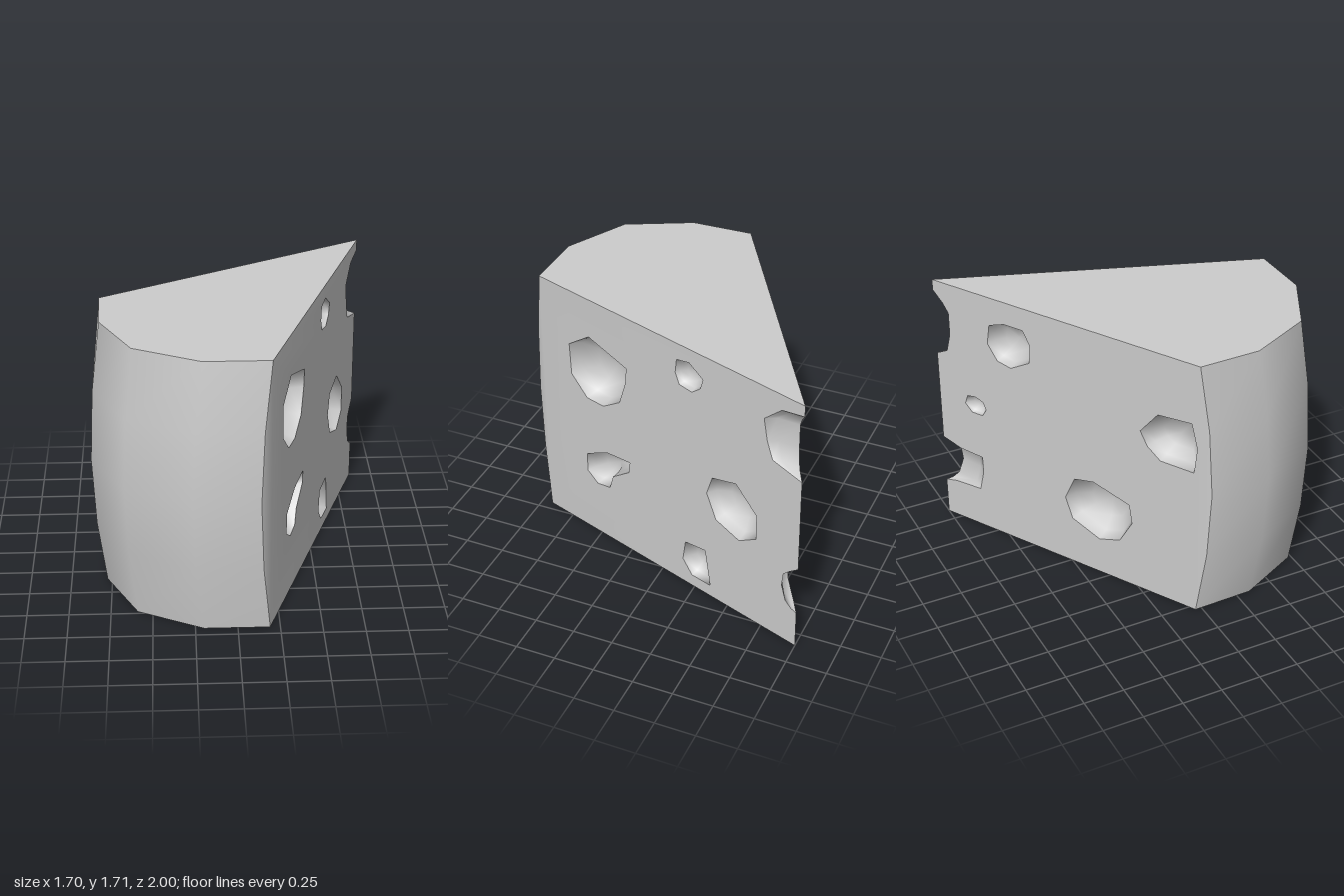
import * as THREE from 'three';
import { mergeVertices } from 'three/addons/utils/BufferGeometryUtils.js';

const H = 1.71;
const V = (x, y, z) => new THREE.Vector3(x, y, z);
const material = new THREE.MeshStandardMaterial({ color: 0xcccccc });

// Outline from the back left corner round the rind to the front right corner: [x, z]
const flatEdge = [[-0.79, -0.04], [-0.78, 0.34], [-0.59, 0.73], [-0.2, 0.93], [0.19, 0.93]];
const bulgeEdge = [[-0.85, 0.02], [-0.85, 0.4], [-0.65, 0.79], [-0.26, 1], [0.13, 1]];
const tip = [0.85, -1];
// Bulge of the rind at each height: [y, amount]
const levels = [[0, 0], [0.42, 0.72], [H / 2, 1], [H - 0.42, 0.72], [H, 0]];

const mix = (a, b, t) => [a[0] + (b[0] - a[0]) * t, a[1] + (b[1] - a[1]) * t];

// Smooth surface over rows of points
function loft(rows) {
  const n = rows[0].length, index = [];
  for (let i = 0; i < rows.length - 1; i++) {
    for (let j = 0; j < n - 1; j++) {
      const a = i * n + j, d = a + n;
      index.push(a, a + 1, d + 1, a, d + 1, d);
    }
  }
  let g = new THREE.BufferGeometry().setFromPoints(rows.flat());
  g.setIndex(index);
  g = mergeVertices(g, 1e-4);
  g.computeVertexNormals();
  return g;
}

// Cut face from the tip (u = 0) to a rind corner (u = 1); u above 1 follows the bulge
const BULGE = 0.04;
function makeWall(corner, toU, flip, holes, bites) {
  const flat = flatEdge[corner], bulge = bulgeEdge[corner];
  const at = (u, y) => {
    const p = u <= 1 ? mix(tip, flat, u) : mix(flat, bulge, (u - 1) / BULGE);
    return V(p[0], y, p[1]);
  };
  const convert = (list) => list.map(([a, y]) => new THREE.Vector2(toU(a), y));
  const normal = at(1, 0).sub(at(0, 0)).cross(V(0, 1, 0)).normalize();
  if (flip) normal.negate();
  return { at, normal, flip, holes: holes.map(convert), bites: bites.map(convert) };
}

function wallGeometry(wall) {
  const outline = [new THREE.Vector2(0, 0)];
  levels.forEach(([y, k]) => outline.push(new THREE.Vector2(1 + BULGE * k, y)));
  outline.push(new THREE.Vector2(0, H));
  wall.bites.forEach((b) => outline.push(...b));
  const shape = new THREE.Shape(outline);
  wall.holes.forEach((h) => shape.holes.push(new THREE.Path(h)));
  const g = new THREE.ShapeGeometry(shape);
  const p = g.attributes.position;
  for (let i = 0; i < p.count; i++) {
    const v = wall.at(p.getX(i), p.getY(i));
    p.setXYZ(i, v.x, v.y, v.z);
  }
  if (wall.flip) g.index.array.reverse();
  g.computeVertexNormals();
  return g;
}

// Rounded hollow behind a hole in a cut face
function hollowGeometry(wall, contour) {
  const ring = contour.slice();
  if (THREE.ShapeUtils.isClockWise(ring) !== wall.flip) ring.reverse();
  const points = ring.map((c) => wall.at(c.x, c.y));
  const centre = points.reduce((s, p) => s.add(p), V(0, 0, 0)).divideScalar(points.length);
  const radius = points.reduce((s, p) => s + p.distanceTo(centre), 0) / points.length;
  points.push(points[0]);
  const profile = [[1, 0], [0.88, 0.32], [0.55, 0.6], [0, 0.72]];
  return loft(profile.map(([scale, depth]) => points.map((p) =>
    centre.clone().lerp(p, scale).addScaledVector(wall.normal, -depth * radius))));
}

// Concave scoop across the tip edge, joining both cut faces
function biteGeometry(a, b, i) {
  const rows = a.bites[i].map((c, k) => {
    const d = b.bites[i][k];
    const p = a.at(c.x, c.y), q = b.at(d.x, d.y);
    const middle = p.clone().lerp(q, 0.5);
    const push = 0.2 * p.distanceTo(q);
    middle.add(V(-0.53 * push, 0, 0.85 * push));
    return [p, middle, q];
  });
  return loft(rows.reverse());
}

export function createModel() {
  const group = new THREE.Group();
  const add = (name, geometry) => {
    const mesh = new THREE.Mesh(geometry, material);
    mesh.name = name;
    group.add(mesh);
  };

  // Right face: points are [z, y]
  const right = makeWall(4, (z) => (z + 1) / 1.93, true, [
    [[0.55, 1.45], [0.26, 1.36], [0.27, 1.25], [0.32, 1.09], [0.45, 1], [0.58, 1], [0.7, 1.12], [0.71, 1.33]],
    [[-0.12, 1.6], [-0.21, 1.62], [-0.31, 1.55], [-0.29, 1.48], [-0.23, 1.43], [-0.14, 1.44], [-0.11, 1.51]],
    [[-0.55, 0.95], [-0.7, 0.8], [-0.7, 0.63], [-0.58, 0.55], [-0.41, 0.61], [-0.34, 0.77], [-0.38, 0.9]],
    [[0.43, 0.66], [0.25, 0.68], [0.26, 0.6], [0.39, 0.5], [0.42, 0.4], [0.52, 0.38], [0.6, 0.44], [0.6, 0.57]],
    [[-0.18, 0.31], [-0.33, 0.33], [-0.37, 0.08], [-0.23, 0.08], [-0.16, 0.17]],
  ], [
    [[-1, 1.64], [-0.85, 1.61], [-0.735, 1.5], [-0.76, 1.36], [-0.8, 1.25], [-1, 1.2]],
    [[-1, 0.58], [-0.94, 0.53], [-0.9, 0.49], [-0.89, 0.4], [-0.92, 0.3], [-0.96, 0.265], [-1, 0.25]],
  ]);

  // Left face: points are [distance from tip, y]
  const left = makeWall(0, (s) => s / 1.9, false, [
    [[0.42, 1.52], [0.53, 1.56], [0.67, 1.56], [0.72, 1.47], [0.71, 1.35], [0.57, 1.27], [0.47, 1.29], [0.4, 1.39]],
    [[0.22, 0.96], [0.28, 0.97], [0.34, 0.95], [0.36, 0.9], [0.33, 0.85], [0.25, 0.85], [0.2, 0.9]],
    [[1.62, 1.3], [1.85, 1.32], [1.89, 1.16], [1.87, 0.99], [1.64, 0.99], [1.55, 1.06], [1.5, 1.15]],
    [[1.02, 0.63], [1.16, 0.66], [1.42, 0.59], [1.44, 0.46], [1.35, 0.3], [1.2, 0.25], [1, 0.33], [0.95, 0.47]],
  ], [
    [[0, 1.64], [0.07, 1.57], [0.11, 1.51], [0.11, 1.36], [0.08, 1.24], [0, 1.2]],
    [[0, 0.58], [0.14, 0.54], [0.31, 0.53], [0.31, 0.41], [0.28, 0.28], [0.085, 0.27], [0, 0.25]],
  ]);

  add('rightFace', wallGeometry(right));
  add('leftFace', wallGeometry(left));
  right.holes.forEach((h, i) => add(`rightHole${i + 1}`, hollowGeometry(right, h)));
  left.holes.forEach((h, i) => add(`leftHole${i + 1}`, hollowGeometry(left, h)));
  ['upperTipHole', 'lowerTipHole'].forEach((name, i) => add(name, biteGeometry(right, left, i)));

  // Bulging rind
  add('rind', loft(levels.map(([y, k]) => flatEdge.map((e, i) => {
    const [x, z] = mix(e, bulgeEdge[i], k);
    return V(x, y, z);
  }))));

  // Flat top and bottom
  const cap = (sign) => new THREE.ShapeGeometry(new THREE.Shape(
    [tip, ...flatEdge].map(([x, z]) => new THREE.Vector2(x, z * sign)))).rotateX(sign * Math.PI / 2);
  add('top', cap(-1).translate(0, H, 0));
  add('bottom', cap(1));
  return group;
}
